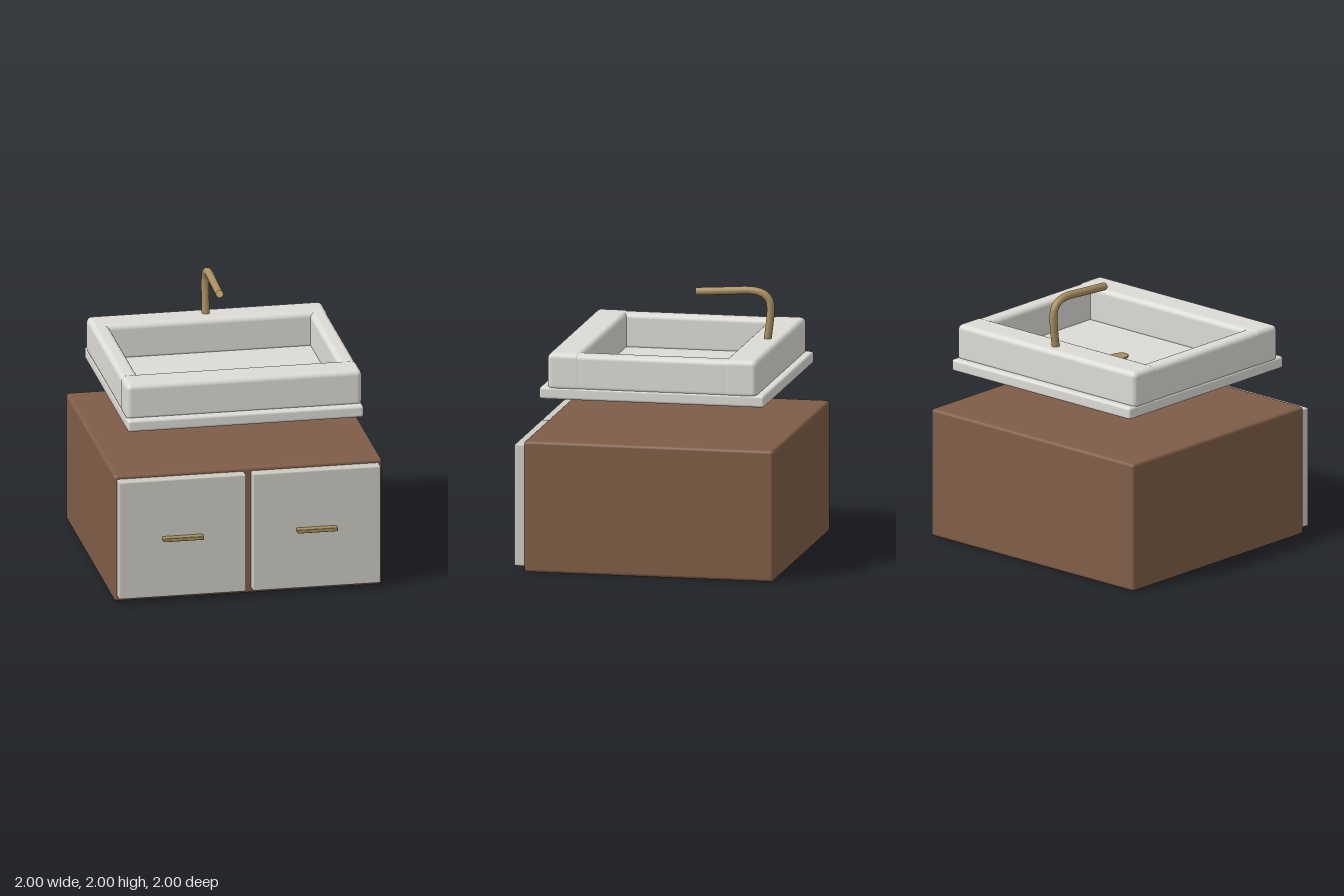
import * as THREE from 'three';
import { RoundedBoxGeometry } from 'three/addons/geometries/RoundedBoxGeometry.js';

export function createModel() {
  const group = new THREE.Group();
  const wood = new THREE.MeshStandardMaterial({ color: 0x7f5d47 });
  const panel = new THREE.MeshStandardMaterial({ color: 0xcccbc2 });
  const brass = new THREE.MeshStandardMaterial({ color: 0xa88f60 });
  const brassOpen = new THREE.MeshStandardMaterial({ color: 0xa88f60, side: THREE.DoubleSide });
  const ceramic = new THREE.MeshStandardMaterial({ color: 0xdddbd5 });

  const add = (name, geometry, material, parent = group) => {
    const mesh = new THREE.Mesh(geometry, material);
    mesh.name = name;
    parent.add(mesh);
    return mesh;
  };
  // Rounded box given by its extents on each axis
  const block = (name, [x0, x1], [y0, y1], [z0, z1], radius, material, parent) => {
    const geometry = new RoundedBoxGeometry(x1 - x0, y1 - y0, z1 - z0, 4, radius);
    const mesh = add(name, geometry, material, parent);
    mesh.position.set((x0 + x1) / 2, (y0 + y1) / 2, (z0 + z1) / 2);
    return mesh;
  };

  // Cabinet body
  block('cabinet', [-1, 1], [0, 0.98], [-1, 0.87], 0.025, wood);

  // Two fronts, each with a bar handle
  [['right', -0.98, -0.03, -0.505], ['left', 0.02, 0.975, 0.495]].forEach(([side, x0, x1, hx]) => {
    const door = new THREE.Group();
    door.name = side + 'Door';
    group.add(door);
    block('doorPanel', [x0, x1], [0.04, 0.95], [0.85, 0.945], 0.012, panel, door);
    block('handle', [hx - 0.15, hx + 0.15], [0.483, 0.511], [0.935, 1], 0.006, brass, door);
  });

  // Basin: base slab with four thick rounded walls
  const basin = new THREE.Group();
  basin.name = 'basin';
  group.add(basin);
  block('basinBase', [-0.88, 0.88], [1.275, 1.365], [-0.905, 0.78], 0.02, ceramic, basin);
  block('basinFrontWall', [-0.88, 0.88], [1.34, 1.62], [0.47, 0.72], 0.04, ceramic, basin);
  block('basinBackWall', [-0.88, 0.88], [1.34, 1.62], [-0.85, -0.6], 0.04, ceramic, basin);
  for (const s of [-1, 1]) {
    const wall = block(s < 0 ? 'basinRightWall' : 'basinLeftWall',
      [-0.065, 0.065], [1.34, 1.615], [-0.8, 0.67], 0.04, ceramic, basin);
    wall.position.x = s * 0.813;
  }

  // Oval drain cover
  const drain = add('drain', new THREE.CylinderGeometry(1, 1, 0.02, 40), brass);
  drain.scale.set(0.062, 1, 0.093);
  drain.position.set(-0.005, 1.368, -0.065);

  // Curved spout
  const path = new THREE.CatmullRomCurve3([
    [1.6, -0.742], [1.72, -0.758], [1.82, -0.767], [1.9, -0.76], [1.945, -0.725],
    [1.968, -0.67], [1.974, -0.6], [1.967, -0.48], [1.95, -0.21],
  ].map(([y, z]) => new THREE.Vector3(-0.005, y, z)));
  add('faucet', new THREE.TubeGeometry(path, 48, 0.029, 16), brassOpen);

  return group;
}
